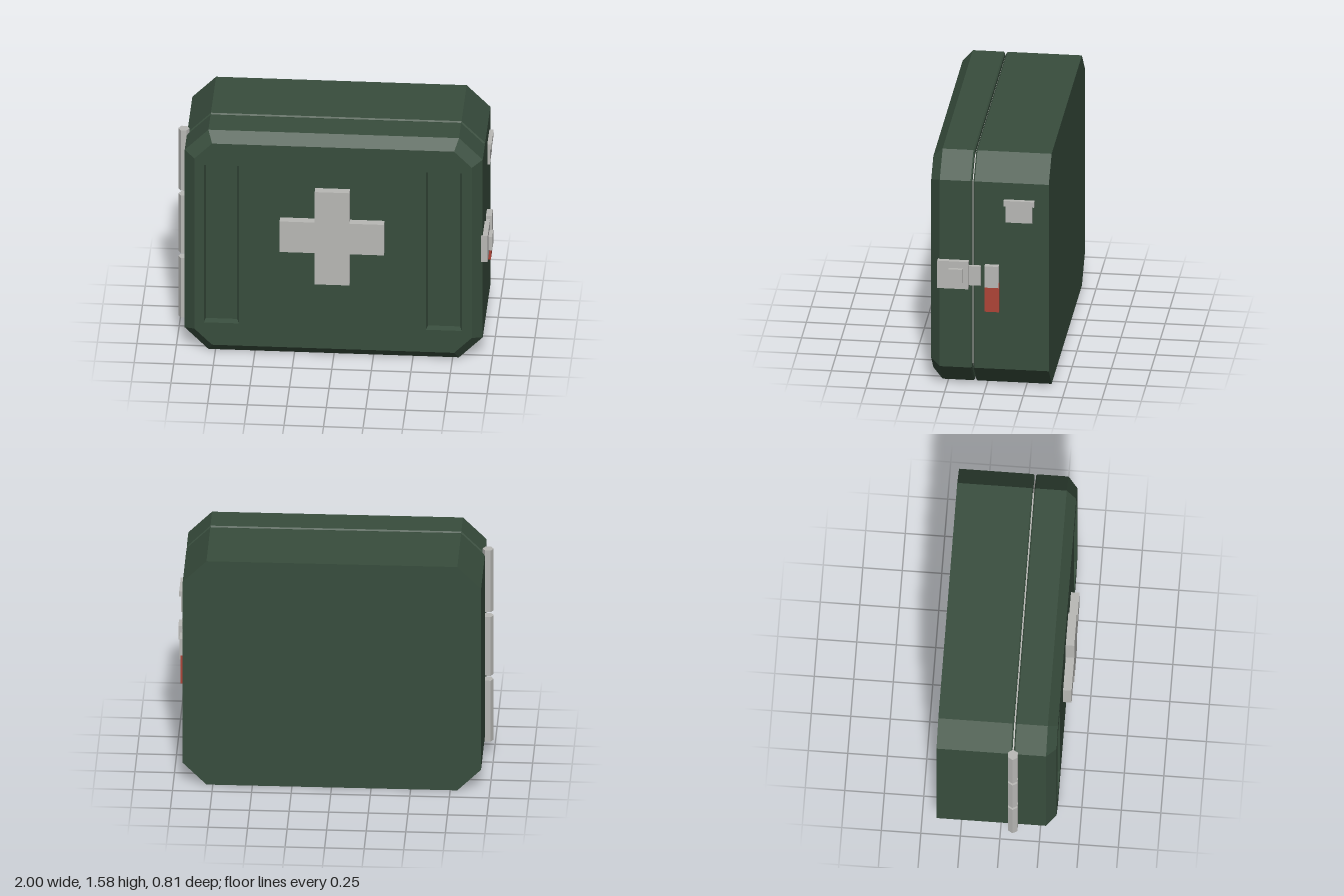
import * as THREE from 'three';

const mat = (name, color) => {
  const m = new THREE.MeshStandardMaterial({ color });
  m.name = name;
  return m;
};

// Eight-cornered case outline, inset by d with even wall distance
function octagon(d = 0) {
  const l = -0.945 + d, r = 0.94 - d, b = d, t = 1.58 - d;
  const c = 0.15 - d * (2 - Math.SQRT2);
  return [[l + c, b], [r - c, b], [r, b + c], [r, t - c], [r - c, t], [l + c, t], [l, t - c], [l, b + c]];
}

const rectangle = (x0, x1, y0, y1, d = 0) =>
  [[x0 + d, y0 + d], [x1 - d, y0 + d], [x1 - d, y1 - d], [x0 + d, y1 - d]];

// Faceted skin through [outline, z] sections, with optional flat ends
function loft(sections, startCap, endCap) {
  const pos = [];
  const rings = sections.map(([pts, z]) => pts.map(([x, y]) => [x, y, z]));
  const n = rings[0].length;
  for (let i = 0; i < rings.length - 1; i++) {
    for (let j = 0; j < n; j++) {
      const k = (j + 1) % n;
      const a = rings[i][j], b = rings[i][k], c = rings[i + 1][k], d = rings[i + 1][j];
      pos.push(...a, ...b, ...c, ...a, ...c, ...d);
    }
  }
  const first = rings[0], last = rings[rings.length - 1];
  for (let j = 1; j < n - 1; j++) {
    if (startCap) pos.push(...first[0], ...first[j + 1], ...first[j]);
    if (endCap) pos.push(...last[0], ...last[j], ...last[j + 1]);
  }
  const g = new THREE.BufferGeometry();
  g.setAttribute('position', new THREE.Float32BufferAttribute(pos, 3));
  g.computeVertexNormals();
  return g;
}

export function createModel() {
  const green = mat('case green', 0x384d3d);
  const grey = mat('light grey', 0xb8b8b5);
  const red = mat('latch red', 0xae4437);

  const model = new THREE.Group();
  model.name = 'firstAidCase';
  const add = (name, geometry, material, parent = model) => {
    const mesh = new THREE.Mesh(geometry, material);
    mesh.name = name;
    parent.add(mesh);
    return mesh;
  };
  const group = (name) => {
    const g = new THREE.Group();
    g.name = name;
    model.add(g);
    return g;
  };
  // Box given by its limits on each axis
  const box = (name, x0, x1, y0, y1, z0, z1, material, parent) =>
    add(name, new THREE.BoxGeometry(x1 - x0, y1 - y0, z1 - z0), material, parent)
      .position.set((x0 + x1) / 2, (y0 + y1) / 2, (z0 + z1) / 2);

  // Rear half, with a small chamfer at the seam
  add('body', loft([[octagon(), -0.405], [octagon(), 0.066], [octagon(0.008), 0.074]], true, true), green);

  // Gasket deep inside the seam
  add('gasket', loft([[octagon(0.04), 0.07], [octagon(0.04), 0.09]], true, true), grey);

  // Front half with its broad bevel
  const lid = group('lid');
  add('lidShell', loft([
    [octagon(0.008), 0.084], [octagon(), 0.092], [octagon(), 0.288], [octagon(0.065), 0.35],
  ], true, false), green, lid);

  // Front panel with two recessed slots
  const vectors = (pts) => pts.map(([x, y]) => new THREE.Vector2(x, y));
  const panel = new THREE.Shape(vectors(octagon(0.065)));
  for (const [name, x0, x1] of [['rightSlot', -0.82, -0.6], ['leftSlot', 0.585, 0.81]]) {
    const slot = (d) => rectangle(x0, x1, 0.225, 1.36, d);
    panel.holes.push(new THREE.Path(vectors(slot(0))));
    add(name, loft([[slot(0), 0.35], [slot(0.01), 0.31]], false, true), green, lid);
  }
  add('frontPanel', new THREE.ShapeGeometry(panel), green, lid).position.z = 0.35;

  // Raised cross
  const cross = new THREE.Shape(vectors([
    [-0.115, 0.555], [0.105, 0.555], [0.105, 0.78], [0.323, 0.78], [0.323, 1], [0.105, 1],
    [0.105, 1.22], [-0.115, 1.22], [-0.115, 1], [-0.337, 1], [-0.337, 0.78], [-0.115, 0.78],
  ]));
  add('cross', new THREE.ExtrudeGeometry(cross, { depth: 0.06, bevelEnabled: false }), grey)
    .position.z = 0.344;

  // Six-sided hinge barrels on the right side
  const hinge = group('hinge');
  for (const [y0, y1] of [[0.12, 0.55], [0.585, 1], [1.035, 1.47]]) {
    const barrel = new THREE.CylinderGeometry(0.035, 0.035, y1 - y0, 6, 1, false, Math.PI / 2).toNonIndexed();
    barrel.computeVertexNormals();
    add('hingeBarrel', barrel, grey, hinge).position.set(-0.965, (y0 + y1) / 2, 0.08);
  }

  // Latch across the seam on the left side
  const latch = group('latch');
  box('latchPlate', 0.93, 0.972, 0.7, 0.887, 0.103, 0.3, grey, latch);
  box('latchButton', 0.96, 0.996, 0.745, 0.842, 0.137, 0.226, grey, latch);
  box('latchTongue', 0.945, 0.967, 0.727, 0.858, 0.024, 0.11, grey, latch);
  box('latchCatch', 0.935, 0.977, 0.72, 0.866, -0.09, 0, grey, latch);
  box('latchTab', 0.953, 0.971, 0.552, 0.75, -0.092, -0.001, red, latch);

  // Small bracket higher up on the left side
  const bracket = group('bracket');
  box('bracketPlate', 0.93, 0.956, 1.165, 1.285, -0.302, -0.133, grey, bracket);
  box('bracketCap', 0.93, 0.967, 1.28, 1.317, -0.315, -0.12, grey, bracket);

  return model;
}
